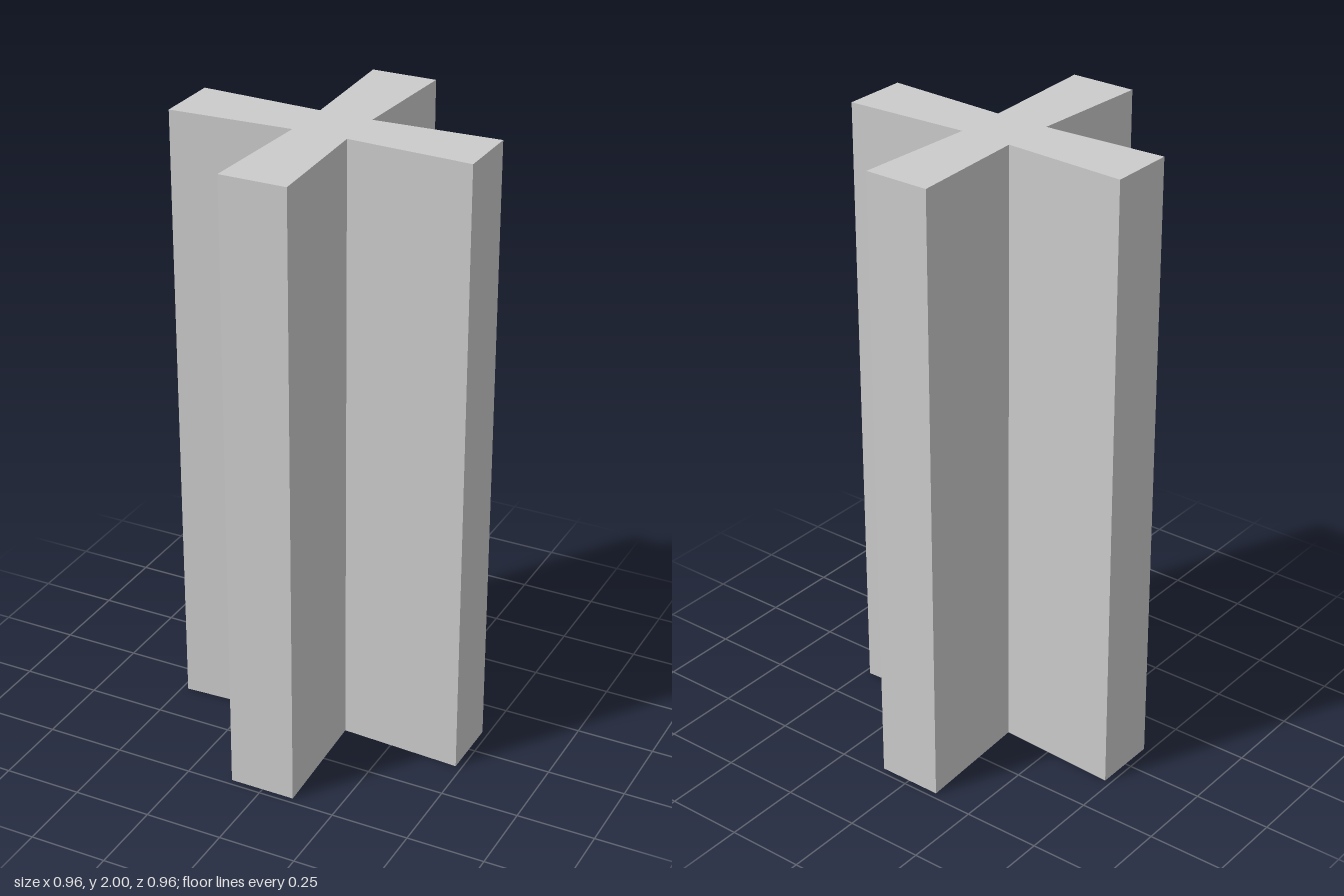
import * as THREE from 'three';

export function createModel() {
  const group = new THREE.Group();
  group.name = 'crossColumn';

  // Plan outline as [x, z]: four arms that flare slightly towards their ends
  const outline = [
    [-0.107, 0.48], [0.105, 0.48], [0.086, 0.083],   // front arm
    [0.48, 0.102], [0.48, -0.106], [0.082, -0.087],  // left arm
    [0.102, -0.48], [-0.107, -0.48], [-0.087, -0.09], // back arm
    [-0.48, -0.109], [-0.48, 0.102], [-0.087, 0.083], // right arm
  ];
  const shape = new THREE.Shape(outline.map(([x, z]) => new THREE.Vector2(x, -z)));

  // Extrude the plan and stand it upright on the ground
  const geometry = new THREE.ExtrudeGeometry(shape, { depth: 2, bevelEnabled: false });
  geometry.rotateX(-Math.PI / 2);

  const column = new THREE.Mesh(
    geometry,
    new THREE.MeshStandardMaterial({ color: 0xcccccc, flatShading: true })
  );
  column.name = 'column';
  group.add(column);
  return group;
}
